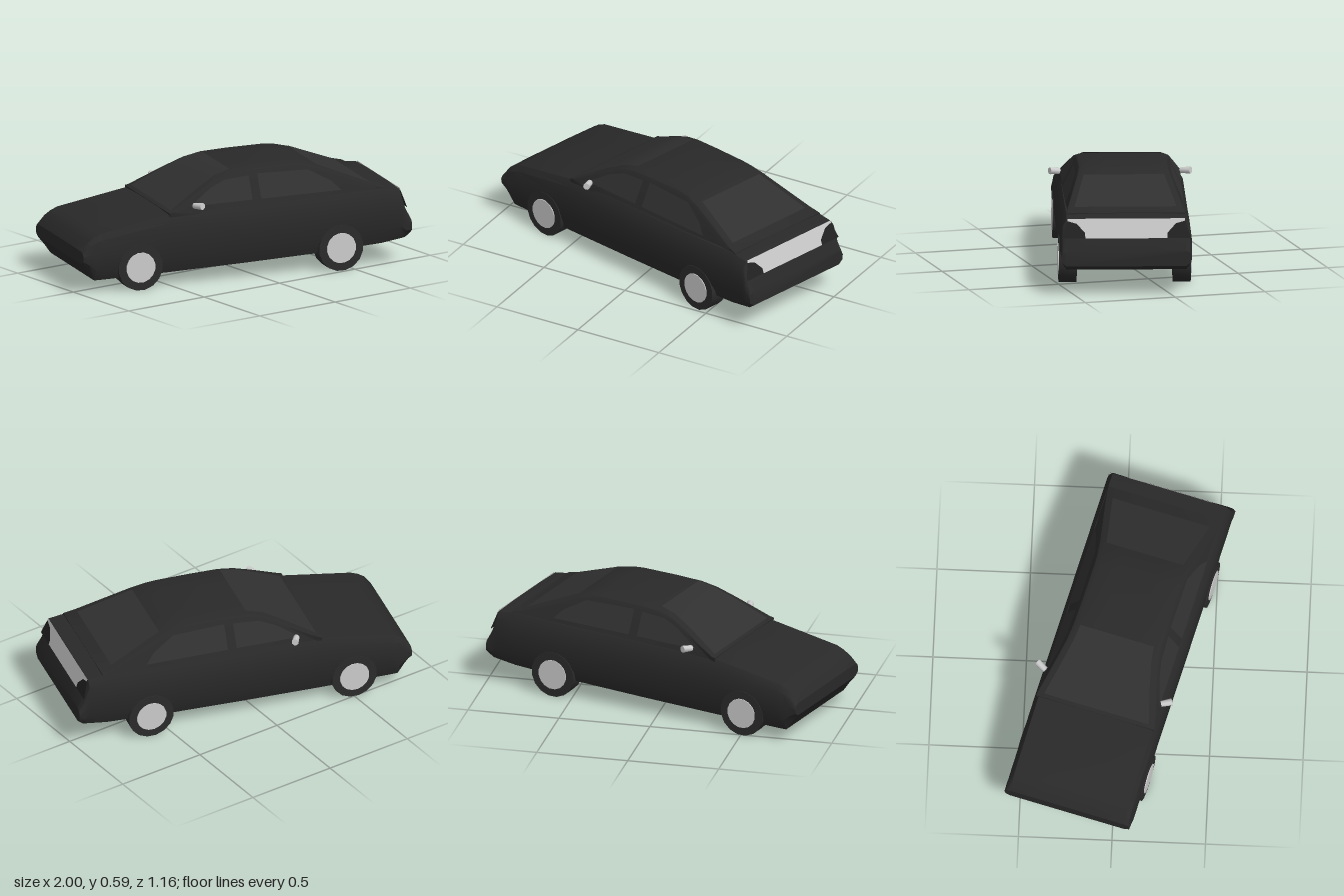
import * as THREE from 'three';
import { toCreasedNormals } from 'three/addons/utils/BufferGeometryUtils.js';

const paint = new THREE.MeshStandardMaterial({ color: 0x292929 });
const rubber = new THREE.MeshStandardMaterial({ color: 0x2b2b2b });
const glass = new THREE.MeshStandardMaterial({ color: 0x303030, side: THREE.DoubleSide });
const lamp = new THREE.MeshStandardMaterial({ color: 0x222222, side: THREE.DoubleSide });
const grey = new THREE.MeshStandardMaterial({ color: 0xcccccc });
const greyThin = new THREE.MeshStandardMaterial({ color: 0xcccccc, side: THREE.DoubleSide });

function part(name, geometry, material) {
  const mesh = new THREE.Mesh(geometry, material);
  mesh.name = name;
  return mesh;
}

function buffer(points, index) {
  const g = new THREE.BufferGeometry();
  g.setAttribute('position', new THREE.Float32BufferAttribute(points.flat(), 3));
  g.setIndex(index);
  return g;
}

// Lofts mirrored half sections [[z, y], ...] (bottom to top) placed along x
function loft(sections) {
  const points = [], index = [];
  for (const [x, half] of sections) {
    half.forEach(([z, y]) => points.push([x, y, z]));
    [...half].reverse().forEach(([z, y]) => points.push([x, y, -z]));
  }
  const n = sections[0][1].length * 2, last = (sections.length - 1) * n;
  for (let i = 0; i < last; i += n) {
    for (let j = 0; j < n; j++) {
      const a = i + j, b = i + (j + 1) % n;
      index.push(a, a + n, b, a + n, b + n, b);
    }
  }
  for (let j = 1; j < n - 1; j++) {
    index.push(0, j, j + 1, last, last + j + 1, last + j);
  }
  const g = buffer(points, index);
  g.computeVertexNormals();
  return toCreasedNormals(g, 0.5);
}

// Flat panel from an outline, mapped onto the car by a placing rule
function panel(outline, place) {
  const g = new THREE.ShapeGeometry(new THREE.Shape(outline.map(p => new THREE.Vector2(...p))));
  const pos = g.attributes.position;
  for (let i = 0; i < pos.count; i++) {
    pos.setXYZ(i, ...place(pos.getX(i), pos.getY(i)));
  }
  g.computeVertexNormals();
  return g;
}

// Cabin side slope
const cabinZ = y => 0.325 - 0.09 * (y - 0.41) / 0.18;

// Cabin roof line: x, y
const roofLine = [
  [-0.44, 0.4], [-0.42, 0.405], [-0.25, 0.5], [-0.14, 0.555], [-0.05, 0.578], [0.1, 0.586],
  [0.3, 0.589], [0.36, 0.583], [0.445, 0.56], [0.735, 0.445], [0.8, 0.428],
];

function cabinSection([x, y]) {
  const t = Math.max(0, (y - 0.4) / 0.19), yc = y - 0.03 * t;
  return [x, [
    [0.325, 0.375], [cabinZ(yc), yc],
    [cabinZ(yc) - 0.014 * t, y - 0.012 * t],
    [cabinZ(yc) - 0.04 * t, y - 0.002 * t],
    [0.1, y],
  ]];
}

// Windscreen or rear window following the roof line
function screen(line) {
  const points = [], index = [];
  line.forEach(([x, y], i) => {
    const z = cabinZ(y) - 0.035;
    points.push([x, y + 0.003, z], [x, y + 0.003, -z]);
    if (i) {
      const a = 2 * i - 2;
      index.push(a, a + 2, a + 1, a + 2, a + 3, a + 1);
    }
  });
  const g = buffer(points, index);
  g.computeVertexNormals();
  return g;
}

function createWheel(x, side) {
  const wheel = new THREE.Group();
  wheel.name = (x < 0 ? 'front' : 'rear') + 'Wheel';
  const tyre = part('tyre', toCreasedNormals(new THREE.CylinderGeometry(0.127, 0.127, 0.095, 16), 0.6), rubber);
  const hub = part('hubcap', new THREE.CylinderGeometry(0.083, 0.083, 0.012, 16), grey);
  hub.position.y = side * 0.046;
  wheel.add(tyre, hub);
  wheel.rotation.set(Math.PI / 2, Math.PI / 16, 0);
  wheel.position.set(x, 0.125, side * 0.305);
  return wheel;
}

export function createModel() {
  const model = new THREE.Group();
  model.name = 'car';

  // Lower body: x, underside y, top y
  const stations = [
    [-0.942, 0.165, 0.235], [-0.905, 0.12, 0.285], [-0.87, 0.07, 0.31], [-0.83, 0.07, 0.327],
    [-0.44, 0.076, 0.397], [0, 0.087, 0.405], [0.4, 0.1, 0.412], [0.78, 0.122, 0.428],
    [0.882, 0.137, 0.414], [0.912, 0.142, 0.31], [0.942, 0.165, 0.25],
  ];
  const body = loft(stations.map(([x, yb, yt]) => {
    const h = yt - yb;
    return [x, [
      [0.32, yb], [0.347, yb + 0.25 * h], [0.35, yb + 0.6 * h],
      [0.34, yb + 0.86 * h], [0.318, yt - 0.02 * h], [0.15, yt],
    ]];
  }));
  model.add(part('body', body, paint));

  // Cabin and its windows
  model.add(part('cabin', loft(roofLine.map(cabinSection)), paint));
  model.add(part('windscreen', screen(roofLine.slice(1, 5)), glass));
  model.add(part('rearWindow', screen(roofLine.slice(8, 10)), glass));
  const frontPane = [[-0.32, 0.425], [0.04, 0.43], [0.04, 0.55], [-0.1, 0.54], [-0.19, 0.505]];
  const rearPane = [[0.09, 0.43], [0.55, 0.435], [0.5, 0.485], [0.38, 0.55], [0.09, 0.555]];

  for (const side of [1, -1]) {
    const onSide = (x, y) => [x, y, side * (cabinZ(y) + 0.003)];
    model.add(part('frontSideWindow', panel(frontPane, onSide), glass));
    model.add(part('rearSideWindow', panel(rearPane, onSide), glass));

    // Wheels
    model.add(createWheel(-0.615, side), createWheel(0.535, side));

    // Door mirror, swept back
    const mirror = part('doorMirror', toCreasedNormals(new THREE.CylinderGeometry(0.019, 0.016, 0.06, 8), 0.8), grey);
    mirror.quaternion.setFromUnitVectors(
      new THREE.Vector3(0, 1, 0), new THREE.Vector3(0.45, 0.1, side * 0.89).normalize());
    mirror.position.set(-0.283, 0.432, side * 0.35);
    model.add(mirror);
  }

  // Rear panel between the tail lamps
  const onTail = (z, y) => [0.916 - 0.3 * (y - 0.31), y, z];
  const edge = [[0.22, 0.312], [0.22, 0.34], [0.265, 0.388], [0.315, 0.402], [0.313, 0.414]];
  const outline = [...edge, ...edge.map(([z, y]) => [-z, y]).reverse()];
  model.add(part('rearPanel', panel(outline, onTail), greyThin));
  for (const side of [1, -1]) {
    const lampShape = [[0.345, 0.312], ...edge.slice(0, 4)].map(([z, y]) => [side * z, y]);
    model.add(part('tailLamp', panel(lampShape, onTail), lamp));
  }

  // The car stands turned a little on its spot, nose towards -x
  model.rotation.y = -Math.PI / 12;
  const root = new THREE.Group();
  root.name = 'turnedCar';
  root.add(model);
  return root;
}
